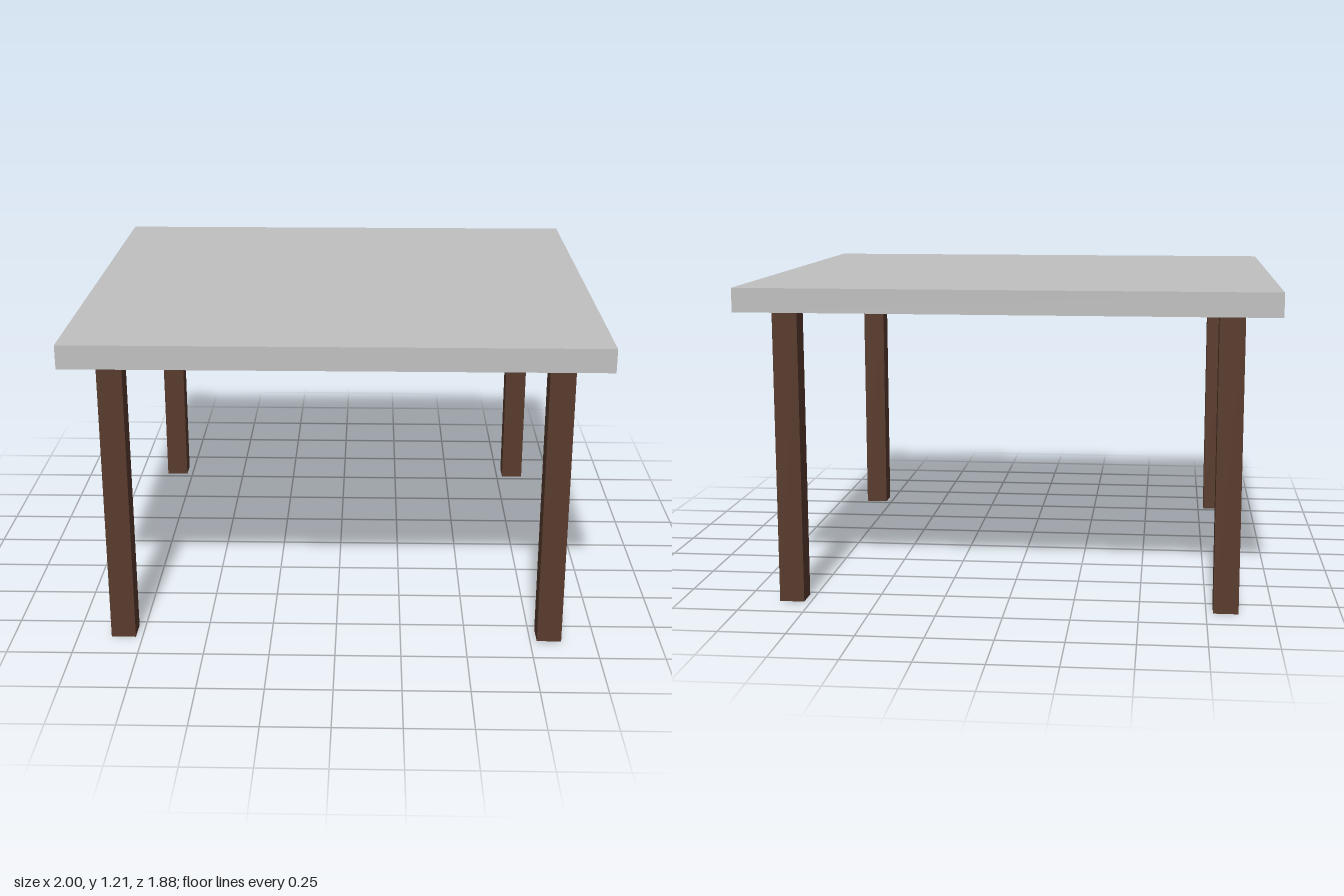
import * as THREE from 'three';

export function createModel() {
  const group = new THREE.Group();
  group.name = 'table';
  const grey = new THREE.MeshStandardMaterial({ color: 0xc0c0c0 });
  grey.name = 'light grey';
  const brown = new THREE.MeshStandardMaterial({ color: 0x583a2c });
  brown.name = 'dark brown';

  const legHeight = 1.115, legWidth = 0.094, topThickness = 0.09;

  // Slab top
  const top = new THREE.Mesh(new THREE.BoxGeometry(2, topThickness, 1.88), grey);
  top.name = 'tableTop';
  top.position.y = legHeight + topThickness / 2;
  group.add(top);

  // Four square legs, inset from the corners
  const legGeometry = new THREE.BoxGeometry(legWidth, legHeight, legWidth);
  for (const x of [-1, 1]) {
    for (const z of [-1, 1]) {
      const leg = new THREE.Mesh(legGeometry, brown);
      leg.name = (z > 0 ? 'front' : 'back') + (x > 0 ? 'Left' : 'Right') + 'Leg';
      leg.position.set(x * 0.823, legHeight / 2, z * 0.825);
      group.add(leg);
    }
  }
  return group;
}
